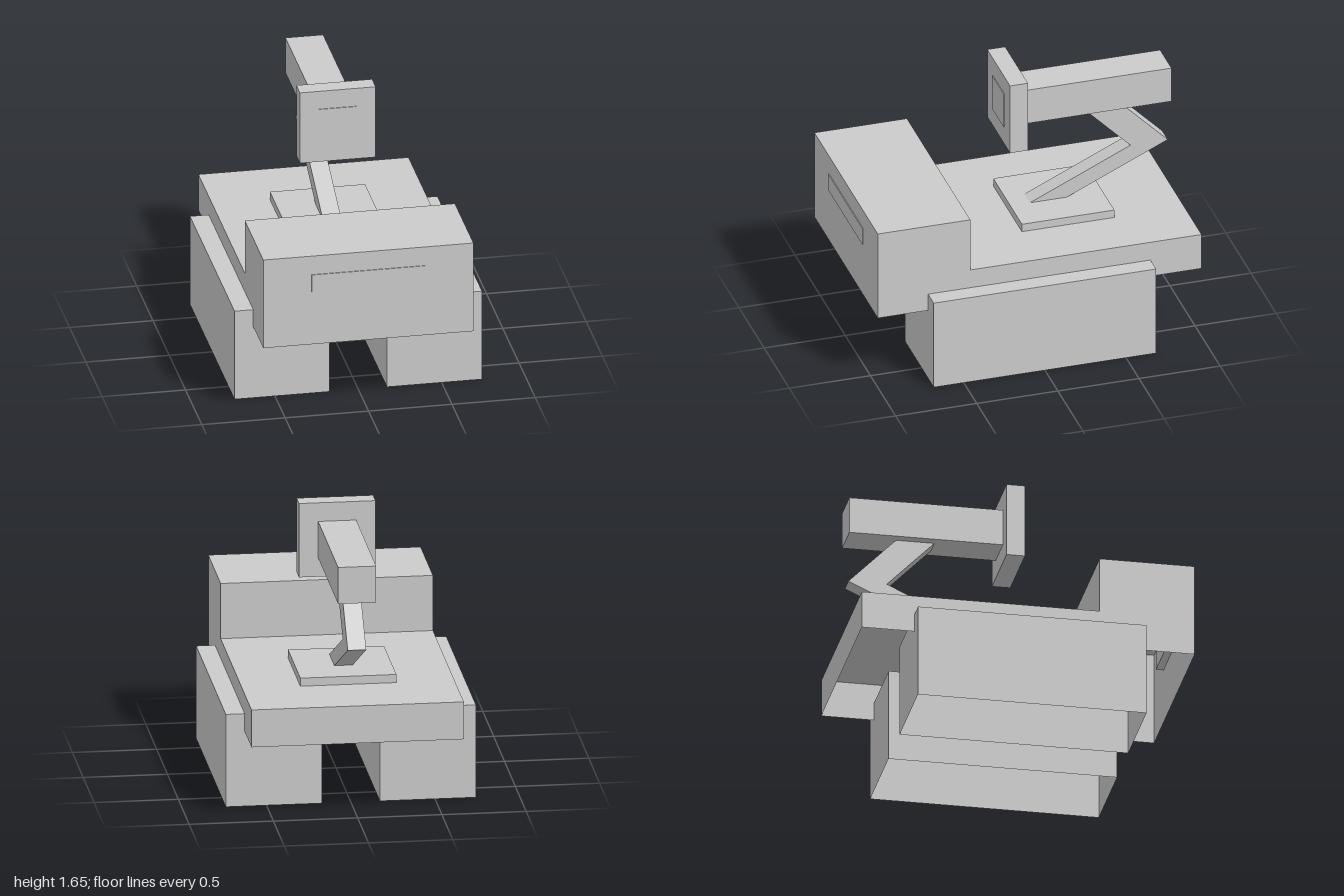
import * as THREE from 'three';

const material = new THREE.MeshStandardMaterial({ color: 0xcccccc, flatShading: true, side: THREE.DoubleSide });

function addMesh(parent, name, geometry) {
  const mesh = new THREE.Mesh(geometry, material);
  mesh.name = name;
  parent.add(mesh);
  return mesh;
}

// Box given by its limits on each axis
function box([x0, x1], [y0, y1], [z0, z1]) {
  return new THREE.BoxGeometry(x1 - x0, y1 - y0, z1 - z0)
    .translate((x0 + x1) / 2, (y0 + y1) / 2, (z0 + z1) / 2);
}

// Side profile of [z, y] points, extruded across x
function sideProfile(points, width) {
  const shape = new THREE.Shape(points.map(([z, y]) => new THREE.Vector2(z, y)));
  return new THREE.ExtrudeGeometry(shape, { depth: width, bevelEnabled: false })
    .translate(0, 0, -width / 2)
    .rotateY(-Math.PI / 2);
}

// Remove the faces lying on the lowest level, leaving a hollow shell
function openBottom(geometry) {
  const source = geometry.index ? geometry.toNonIndexed() : geometry;
  source.computeBoundingBox();
  const limit = source.boundingBox.min.y + 1e-4;
  const p = source.attributes.position;
  const kept = [];
  for (let i = 0; i < p.count; i += 3) {
    if ([0, 1, 2].every((k) => p.getY(i + k) < limit)) continue;
    for (let k = 0; k < 3; k++) kept.push(p.getX(i + k), p.getY(i + k), p.getZ(i + k));
  }
  const result = new THREE.BufferGeometry();
  result.setAttribute('position', new THREE.Float32BufferAttribute(kept, 3));
  result.computeVertexNormals();
  return result;
}

export function createModel() {
  const model = new THREE.Group();
  model.name = 'trackedVehicle';

  // Chassis: flat rear deck with a raised front cabin, open underneath
  addMesh(model, 'chassis', openBottom(sideProfile([
    [-1, 0.46], [0.995, 0.46], [0.995, 1.03], [0.425, 1.03], [0.425, 0.69], [-1, 0.69],
  ], 1.26)));
  addMesh(model, 'frontPanel', box([-0.34, 0.34], [0.8, 0.91], [0.95, 1]));

  // Track housings, hollow from below
  for (const side of [1, -1]) {
    const track = openBottom(box([-0.285, 0.285], [0, 0.57], [-0.685, 0.685]));
    addMesh(model, side > 0 ? 'leftTrack' : 'rightTrack', track).position.x = side * 0.457;
  }

  // Pedestal running down through the deck
  addMesh(model, 'pedestal', box([-0.285, 0.285], [0.4, 0.74], [-0.57, 0]));

  // Bent arm
  addMesh(model, 'arm', sideProfile([
    [-0.12, 0.74], [-0.74, 1.025], [-0.455, 1.315],
    [-0.685, 1.315], [-0.97, 1.025], [-0.35, 0.74],
  ], 0.11));

  // Head: long beam passing through a square plate
  const head = new THREE.Group();
  head.name = 'head';
  addMesh(head, 'beam', box([-0.113, 0.113], [1.315, 1.54], [-0.975, 0.06]));
  addMesh(head, 'facePlate', box([-0.227, 0.227], [1.2, 1.655], [-0.055, 0.055]));
  model.add(head);

  return model;
}
